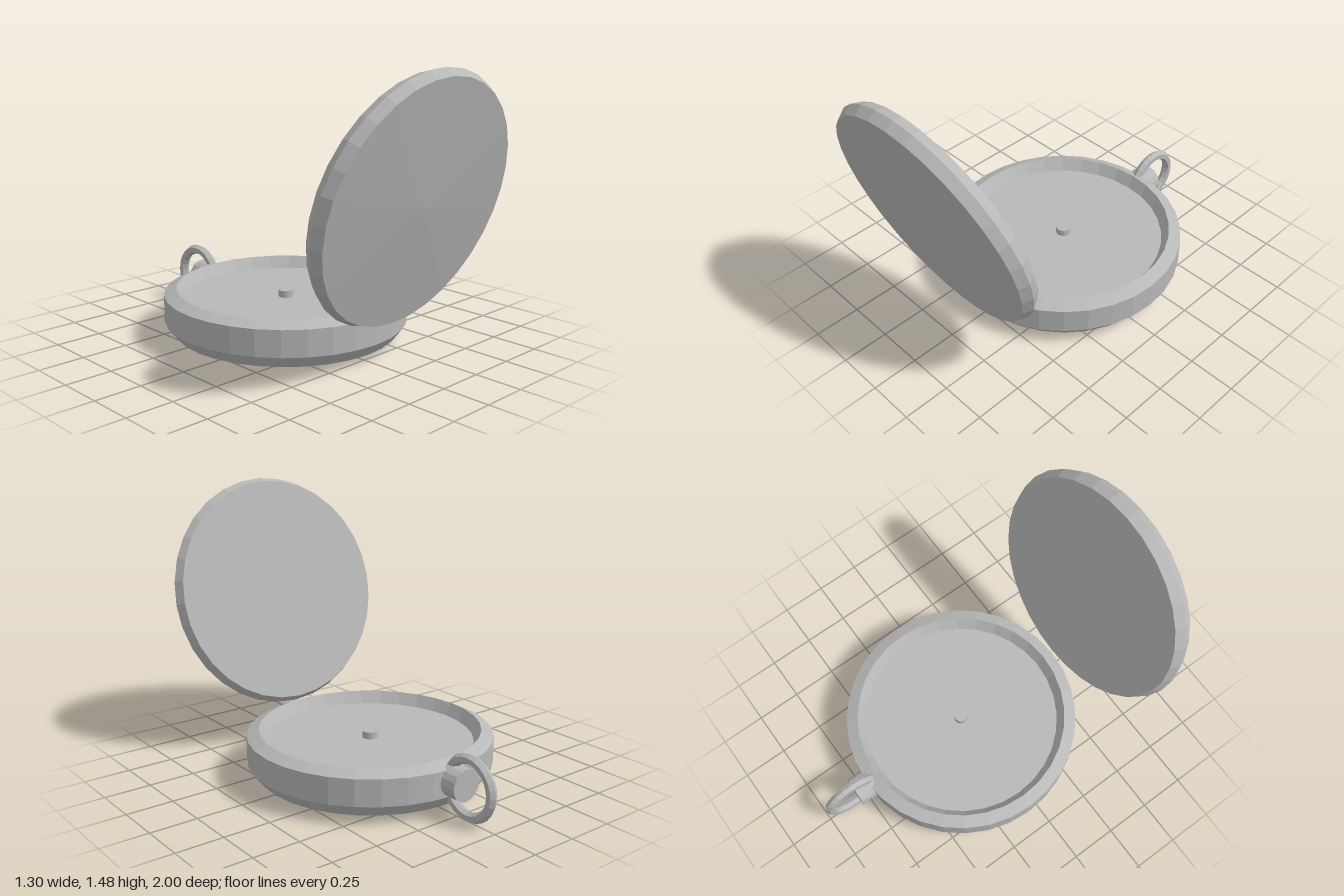
import * as THREE from 'three';

export function createModel() {
  const model = new THREE.Group();
  model.name = 'pocketWatch';
  const metal = new THREE.MeshStandardMaterial({ color: 0xb8b8b8, flatShading: true });
  metal.name = 'grey metal';

  const add = (name, geometry, x, y, z) => {
    const mesh = new THREE.Mesh(geometry, metal);
    mesh.name = name;
    mesh.position.set(x, y, z);
    model.add(mesh);
    return mesh;
  };
  const lathe = (profile) =>
    new THREE.LatheGeometry(profile.map(([r, y]) => new THREE.Vector2(r, y)), 32);

  const caseZ = -0.075;

  // Case: bevelled drum with a recessed dial
  add('case', lathe([
    [0, 0.035], [0.6, 0.035], [0.65, 0.1], [0.65, 0.24],
    [0.585, 0.27], [0.547, 0.205], [0, 0.205],
  ]), 0, 0, caseZ);

  // Small pin in the middle of the dial
  add('dialPin', new THREE.CylinderGeometry(0.04, 0.04, 0.04, 16), 0, 0.222, caseZ);

  // Open lid: bevelled disc, outer face slightly raised in the middle
  const lid = add('lid', lathe([
    [0, -0.05], [0.625, -0.05], [0.65, 0], [0.625, 0.052], [0, 0.075],
  ]), 0, 0.855, 0.788);
  lid.rotation.x = THREE.MathUtils.degToRad(105);

  // Crown stub at the back of the case
  const crown = add('crown', new THREE.CylinderGeometry(0.083, 0.083, 0.13, 16), 0, 0.177, -0.742);
  crown.rotation.x = Math.PI / 2;

  // Chain ring standing upright through the crown
  const ring = add('chainRing', new THREE.TorusGeometry(0.145, 0.027, 6, 24), 0, 0.172, -0.828);
  ring.rotation.y = Math.PI / 2;

  return model;
}
